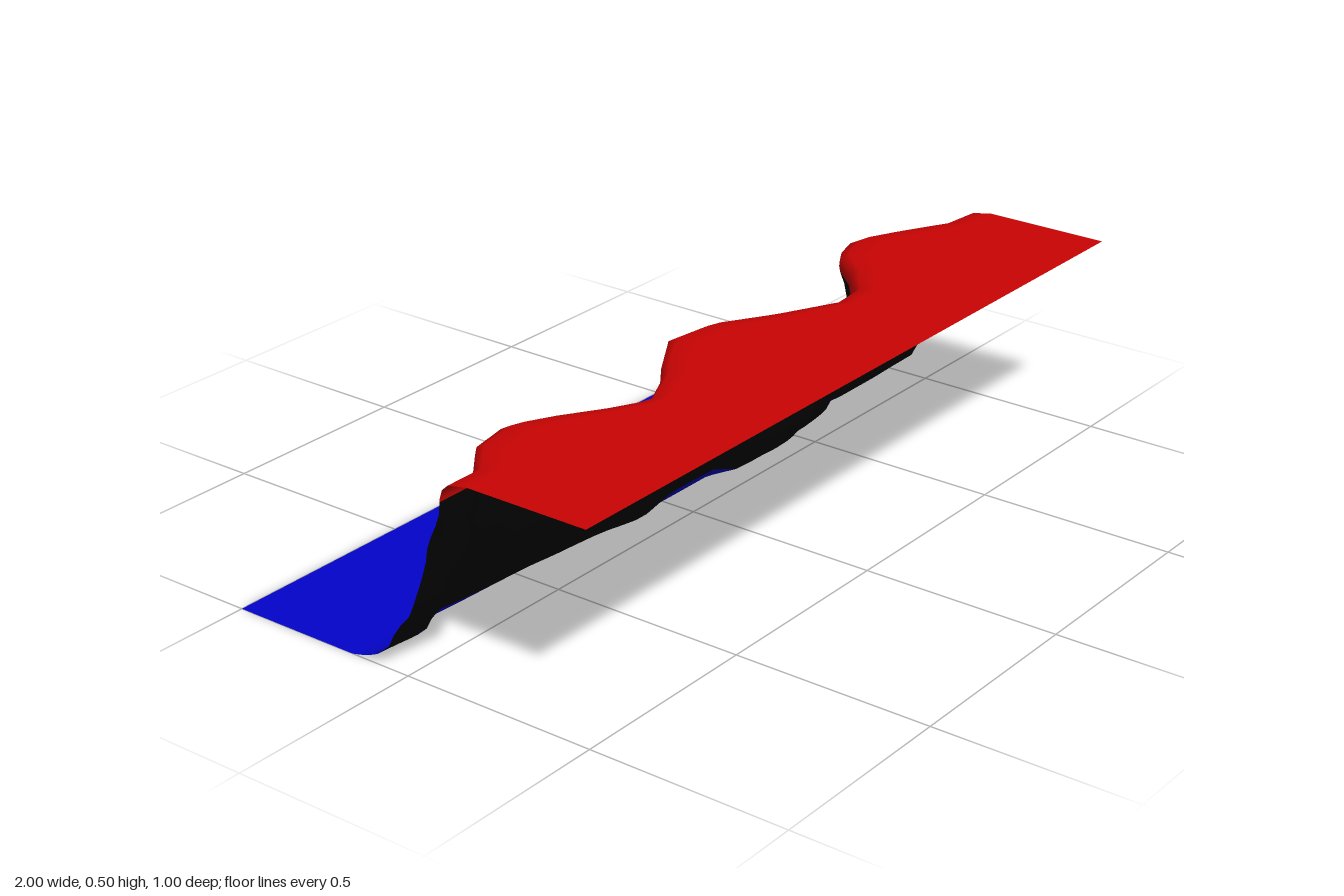
import * as THREE from 'three';

// Piecewise-linear lookup in a list of [key, value, ...] rows with rising keys
function lookup(table, k, col = 1) {
  if (k <= table[0][0]) return table[0][col];
  for (let i = 1; i < table.length; i++) {
    const a = table[i - 1], b = table[i];
    if (k <= b[0]) return THREE.MathUtils.lerp(a[col], b[col], (k - a[0]) / (b[0] - a[0]));
  }
  return table[table.length - 1][col];
}

// Cliff profile: height, depth where it juts out, depth where it is recessed
const profile = [
  [0, -0.17, -0.15], [0.01, -0.13, -0.1], [0.025, -0.11, -0.05], [0.05, -0.1, 0.015],
  [0.1, -0.085, 0.055], [0.15, -0.05, 0.115], [0.25, -0.01, 0.155], [0.3, 0.005, 0.17],
  [0.4, 0, 0.175], [0.45, -0.03, 0.18], [0.475, -0.025, 0.19], [0.49, 0.005, 0.2], [0.5, 0.08, 0.24],
];
// How far the lip, the middle of the wall and the foot are recessed: x, 0 to 1
const lip = [
  [-1, 0.67], [-0.9, 0.67], [-0.8, 0.29], [-0.69, 0.19], [-0.6, 0.43], [-0.5, 0.76], [-0.41, 1],
  [-0.28, 0.71], [-0.2, 0.43], [-0.1, 0.14], [0.02, 0.21], [0.15, 0.62], [0.3, 1], [0.4, 0.95],
  [0.5, 0.57], [0.58, 0.14], [0.68, 0], [0.78, 0.24], [0.9, 0.57], [1, 0.62],
];
const middle = [
  [-1, 0.38], [-0.9, 0.5], [-0.8, 0.22], [-0.69, 0.17], [-0.6, 0.4], [-0.41, 1], [-0.28, 0.7],
  [-0.2, 0.45], [-0.1, 0.2], [0.02, 0.25], [0.15, 0.62], [0.3, 1], [0.4, 0.95], [0.5, 0.57],
  [0.58, 0.16], [0.68, 0.02], [0.78, 0.24], [0.9, 0.45], [1, 0.43],
];
const foot = [
  [-1, 0.4], [-0.9, 0.52], [-0.8, 0], [-0.67, 0.15], [-0.5, 0.27], [-0.41, 0.42], [-0.28, 0.55], [-0.18, 0.78],
  [-0.07, 0.65], [0.1, 0.65], [0.2, 1], [0.35, 1], [0.45, 0.73], [0.59, 0.28], [0.69, 0.5], [0.85, 0.48], [1, 0.45],
];
// Heights where the colours change: x, y
const redEdge = [
  [-1, 0.445], [-0.85, 0.445], [-0.72, 0.428], [-0.6, 0.428], [-0.5, 0.445], [-0.35, 0.445], [-0.25, 0.43],
  [-0.15, 0.44], [-0.05, 0.428], [0.05, 0.445], [0.2, 0.43], [0.36, 0.43], [0.45, 0.445], [0.58, 0.44],
  [0.7, 0.428], [0.85, 0.428], [0.92, 0.445], [1, 0.445],
];
const blueEdge = [
  [-1, 0.025], [-0.9, 0.06], [-0.8, 0.035], [-0.6, 0.03], [-0.41, 0.03], [-0.3, 0.04], [-0.05, 0.07],
  [0.1, 0.07], [0.2, 0.04], [0.35, 0.045], [0.5, 0.035], [0.6, 0.055], [0.7, 0.035], [0.85, 0.04], [1, 0.025],
];

function depth(x, y) {
  const { lerp, smoothstep } = THREE.MathUtils;
  const lower = lerp(lookup(foot, x), lookup(middle, x), smoothstep(y, 0.03, 0.27));
  const t = lerp(lower, lookup(lip, x), smoothstep(y, 0.3, 0.45));
  return lerp(lookup(profile, y, 1), lookup(profile, y, 2), t);
}

const columns = 60;
const wallRows = 14;
const redEnd = 5;
const blueStart = redEnd + wallRows;

// One column of [y, z] from the front of the upper ground to the back of the lower ground
function column(x) {
  const yr = lookup(redEdge, x), yb = lookup(blueEdge, x);
  const heights = [0.5, 0.49, 0.475, 0.455, yr];
  for (let i = 1; i <= wallRows; i++) heights.push(THREE.MathUtils.lerp(yr, yb, i / wallRows));
  heights.push(yb * 0.6, yb * 0.3, 0);
  return [[0.5, 0.5], ...heights.map((y) => [y, depth(x, y)]), [0, -0.5]];
}

function sheetIndex(rows) {
  const index = [], n = columns + 1;
  for (let j = 0; j < rows - 1; j++) {
    for (let i = 0; i < columns; i++) {
      const a = j * n + i, c = a + n;
      index.push(a, a + 1, c, a + 1, c + 1, c);
    }
  }
  return index;
}

export function createModel() {
  const group = new THREE.Group();
  group.name = 'cliff';

  // Whole sheet, so that the normals run smoothly across the colour bands
  const cols = Array.from({ length: columns + 1 }, (_, i) => column(-1 + (2 * i) / columns));
  const rows = cols[0].length;
  const positions = [];
  for (let j = 0; j < rows; j++) {
    cols.forEach((c, i) => positions.push(-1 + (2 * i) / columns, c[j][0], c[j][1]));
  }
  const sheet = new THREE.BufferGeometry();
  sheet.setAttribute('position', new THREE.Float32BufferAttribute(positions, 3));
  sheet.setIndex(sheetIndex(rows));
  sheet.computeVertexNormals();

  // Cut the sheet into bands of rows
  const addBand = (name, color, first, last) => {
    const geometry = new THREE.BufferGeometry();
    const stride = (columns + 1) * 3;
    for (const key of ['position', 'normal']) {
      const part = sheet.attributes[key].array.slice(first * stride, (last + 1) * stride);
      geometry.setAttribute(key, new THREE.BufferAttribute(part, 3));
    }
    geometry.setIndex(sheetIndex(last - first + 1));
    const material = new THREE.MeshStandardMaterial({ color, side: THREE.DoubleSide });
    const mesh = new THREE.Mesh(geometry, material);
    mesh.name = name;
    group.add(mesh);
  };
  addBand('upperGround', 0xcc0303, 0, redEnd);
  addBand('cliffWall', 0x030303, redEnd, blueStart);
  addBand('lowerGround', 0x0303cc, blueStart, rows - 1);
  return group;
}
